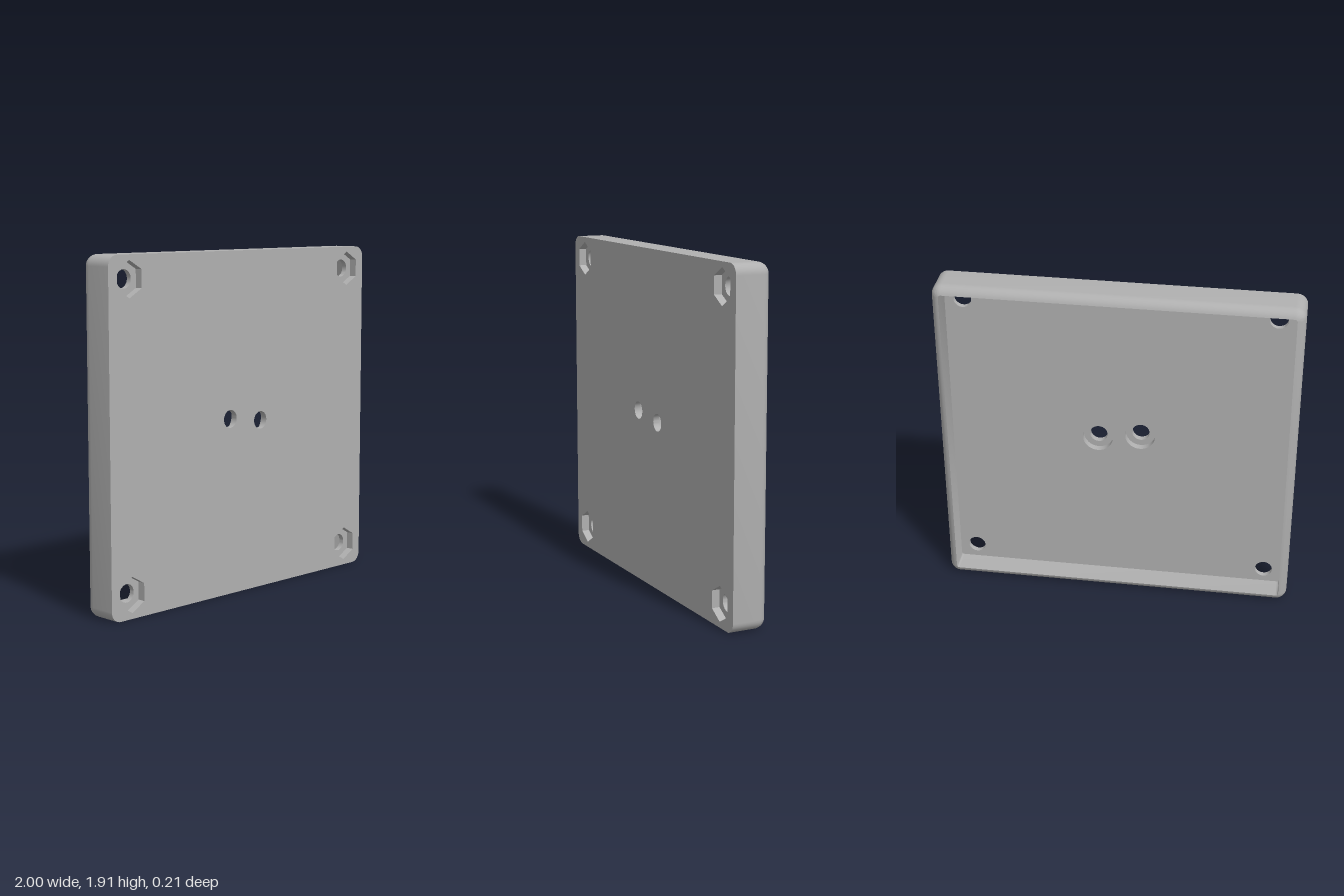
import * as THREE from 'three';
import { toCreasedNormals } from 'three/addons/utils/BufferGeometryUtils.js';

const W = 1, H = 0.957, CY = 0.957;          // half width, half height, centre height
const FRONT = 0.105, BACK = -0.105, FLOOR = 0.03;
const R = 0.06, WALL = 0.045;                // edge radius, rim thickness
const NUT_Z = 0.06, BORE_Z = 0.07;           // depths of the hex and round recess shoulders
const HOLE = 0.05, NUT = 0.098, BORE = 0.085;

const corners = [[-0.857, 0.13], [0.857, 0.13], [-0.857, 1.787], [0.857, 1.787]];
const centres = [[-0.12, 0.99], [0.12, 0.96]];

// Rounded rectangle outline, counter-clockwise, shrunk by inset
function outline(inset, n = 8) {
  const r = R - inset, pts = [];
  [[1, 1], [-1, 1], [-1, -1], [1, -1]].forEach(([sx, sy], q) => {
    for (let i = 0; i <= n; i++) {
      const a = (q + i / n) * Math.PI / 2;
      pts.push(new THREE.Vector2(sx * (W - R) + r * Math.cos(a), CY + sy * (H - R) + r * Math.sin(a)));
    }
  });
  return pts;
}

// Circle or pointy-top hexagon outline
function ngon(x, y, r, n) {
  return Array.from({ length: n }, (_, i) => {
    const a = Math.PI / 2 + i / n * Math.PI * 2;
    return new THREE.Vector2(x + r * Math.cos(a), y + r * Math.sin(a));
  });
}

// Flat face with holes at depth z
function face(pts, holes, z, backward) {
  const shape = new THREE.Shape(pts);
  shape.holes = holes.map(h => new THREE.Path(h));
  const g = new THREE.ShapeGeometry(shape);
  if (backward) {
    const ix = g.index.array;
    for (let i = 0; i < ix.length; i += 3) [ix[i], ix[i + 1]] = [ix[i + 1], ix[i]];
    g.computeVertexNormals();
  }
  return g.translate(0, 0, z);
}

// Open wall of a hole between two depths
function bore(x, y, r, n, z0, z1) {
  const g = new THREE.CylinderGeometry(r, r, z1 - z0, n, 1, true)
    .rotateX(Math.PI / 2).translate(x, y, (z0 + z1) / 2);
  return toCreasedNormals(g, 0.6);
}

// Outer sides, rounded back edge and inner pocket walls as one loft
function shell() {
  const rings = [[0, FRONT], [0, BACK + R]];
  const end = Math.acos((R - WALL) / R);
  for (let i = 1; i <= 8; i++) {
    const a = end * i / 8;
    rings.push([R * (1 - Math.cos(a)), BACK + R - R * Math.sin(a)]);
  }
  rings.push([WALL, FLOOR]);
  const pos = [], idx = [];
  let n = 0;
  rings.forEach(([inset, z], k) => {
    const pts = outline(inset);
    n = pts.length;
    pts.forEach(p => pos.push(p.x, p.y, z));
    if (k === 0) return;
    for (let i = 0; i < n; i++) {
      const j = (i + 1) % n, a = (k - 1) * n, b = k * n;
      idx.push(a + i, b + i, a + j, a + j, b + i, b + j);
    }
  });
  const g = new THREE.BufferGeometry();
  g.setAttribute('position', new THREE.Float32BufferAttribute(pos, 3));
  g.setIndex(idx);
  return toCreasedNormals(g, 0.6);
}

export function createModel() {
  const model = new THREE.Group();
  model.name = 'coverPlate';
  const grey = new THREE.MeshStandardMaterial({ color: 0xb0b0b0, side: THREE.DoubleSide });
  grey.name = 'grey';
  const add = (name, geometry) => {
    const mesh = new THREE.Mesh(geometry, grey);
    mesh.name = name;
    model.add(mesh);
  };

  add('rim', shell());
  add('frontFace', face(outline(0), [
    ...corners.map(([x, y]) => ngon(x, y, NUT, 6)),
    ...centres.map(([x, y]) => ngon(x, y, HOLE, 32)),
  ], FRONT));
  add('pocketFloor', face(outline(WALL), [
    ...corners.map(([x, y]) => ngon(x, y, HOLE, 32)),
    ...centres.map(([x, y]) => ngon(x, y, BORE, 32)),
  ], FLOOR, true));

  // Corner screw holes with hexagonal nut recesses at the front
  for (const [x, y] of corners) {
    add('nutRecessWall', bore(x, y, NUT, 6, NUT_Z, FRONT));
    add('nutRecessSeat', face(ngon(x, y, NUT, 6), [ngon(x, y, HOLE, 32)], NUT_Z));
    add('screwHole', bore(x, y, HOLE, 32, FLOOR, NUT_Z));
  }

  // Middle holes with round counterbores at the back
  for (const [x, y] of centres) {
    add('counterboreWall', bore(x, y, BORE, 32, FLOOR, BORE_Z));
    add('counterboreSeat', face(ngon(x, y, BORE, 32), [ngon(x, y, HOLE, 32)], BORE_Z, true));
    add('middleHole', bore(x, y, HOLE, 32, BORE_Z, FRONT));
  }
  return model;
}
